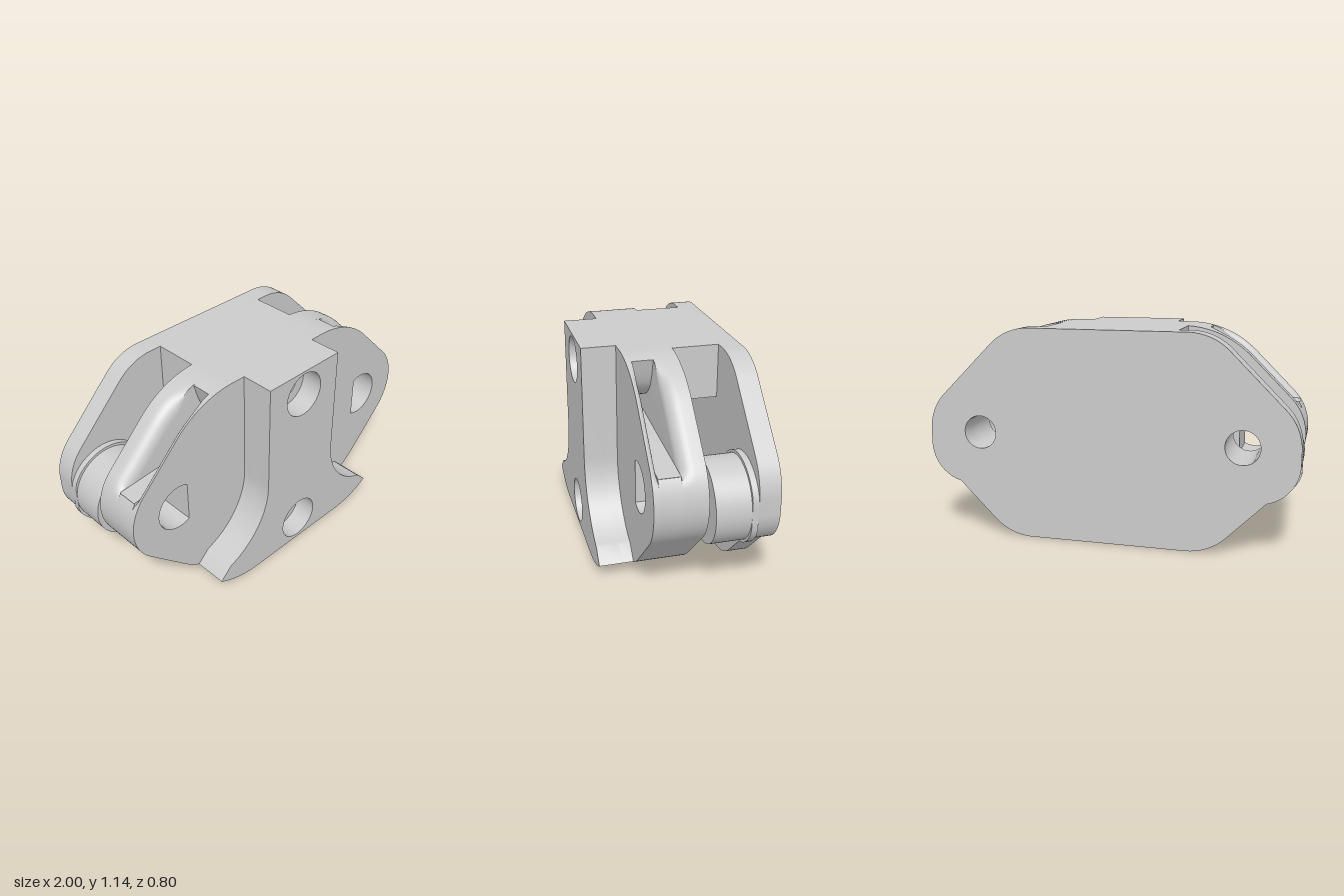
import * as THREE from 'three';
import { toCreasedNormals } from 'three/addons/utils/BufferGeometryUtils.js';

const V = (x, y) => new THREE.Vector2(x, y);
const mirrorX = pts => pts.map(p => V(-p.x, p.y)).reverse();

// Points along an arc, angles in degrees
function arc(cx, cy, r, from, to, n = 16) {
  return Array.from({ length: n + 1 }, (_, i) => {
    const a = THREE.MathUtils.degToRad(from + (to - from) * i / n);
    return V(cx + r * Math.cos(a), cy + r * Math.sin(a));
  });
}
const circle = (x, y, r, n = 40) => arc(x, y, r, 0, 360, n).slice(0, -1);

// Solid from stacked cross-sections: levels = [{ z, pts }] (counter-clockwise), plus straight holes
function slab(levels, holes = []) {
  const pos = [];
  const put = (p, z) => pos.push(p.x, p.y, z);
  const wall = (a, za, b, zb) => a.forEach((p, i) => {
    const j = (i + 1) % a.length;
    put(p, za); put(a[j], za); put(b[j], zb);
    put(p, za); put(b[j], zb); put(b[i], zb);
  });
  for (let k = 1; k < levels.length; k++) {
    wall(levels[k - 1].pts, levels[k - 1].z, levels[k].pts, levels[k].z);
  }
  const first = levels[0], last = levels[levels.length - 1];
  const cw = holes.map(h => THREE.ShapeUtils.isClockWise(h) ? h : h.slice().reverse());
  cw.forEach(h => wall(h, first.z, h, last.z));
  for (const [level, flip] of [[first, true], [last, false]]) {
    const all = [level.pts, ...cw].flat();
    for (const [a, b, c] of THREE.ShapeUtils.triangulateShape(level.pts, cw)) {
      for (const i of flip ? [a, c, b] : [a, b, c]) put(all[i], level.z);
    }
  }
  const g = new THREE.BufferGeometry();
  g.setAttribute('position', new THREE.Float32BufferAttribute(pos, 3));
  return toCreasedNormals(g, 0.5);
}
const prism = (pts, z0, z1, holes) => slab([{ z: z0, pts }, { z: z1, pts }], holes);
const rect = (x0, x1, y0, y1) => [V(x0, y0), V(x1, y0), V(x1, y1), V(x0, y1)];

export function createModel() {
  const group = new THREE.Group();
  const material = new THREE.MeshStandardMaterial({ color: 0xcccccc });
  const add = (name, geometry) => {
    const mesh = new THREE.Mesh(geometry, material);
    mesh.name = name;
    group.add(mesh);
  };

  // Back plate with a rounded bulge at each lower tip
  const backHalf = [
    ...arc(0.423, 0.3, 0.3, -90, -45),
    ...arc(0.785, 0.4975, 0.215, -76, 0),
    ...arc(0.715, 0.57, 0.285, 0, 45),
    ...arc(0.423, 0.84, 0.3, 45, 90),
  ];
  const pinHoles = [-0.71, 0.71].map(x => circle(x, 0.57, 0.09));
  add('backPlate', prism([...backHalf, ...mirrorX(backHalf)], -0.4, -0.29, pinHoles));

  // Spacer blocks between the plates
  add('upperSpacer', prism(rect(-0.36, 0.36, 0.855, 1.14), -0.29, -0.045));
  add('lowerSpacer', prism(rect(-0.36, 0.36, 0, 0.285), -0.29, -0.045));

  // Bosses with a collar at the base, trimmed at the plate's tip
  for (const s of [1, -1]) {
    const side = s > 0 ? 'left' : 'right';
    const place = pts => s > 0 ? pts : mirrorX(pts);
    const hole = [circle(s * 0.71, 0.57, 0.09)];
    const collar = circle(0.785, 0.4975, 0.23).map(p => V(Math.min(p.x, 1), p.y));
    add(side + 'Collar', prism(place(collar), -0.29, -0.258, hole));
    add(side + 'Boss', prism(place(circle(0.785, 0.4975, 0.215, 64)), -0.258, -0.08, hole));
  }

  // Front plate outline and its D-shaped holes
  const frontHalf = [
    ...arc(0.332, 0.52, 0.52, -90, -45),
    ...arc(0.715, 0.57, 0.285, -45, 45, 24),
    ...arc(0.332, 0.62, 0.52, 45, 90),
  ];
  const front = [...frontHalf, ...mirrorX(frontHalf)];
  const dHole = arc(0.71, 0.57, 0.13, -117.5, 117.5, 30);
  const dHoles = [dHole, mirrorX(dHole)];

  // Outline pulled inwards along the slot mouths only
  const smooth = THREE.MathUtils.smoothstep;
  const rolled = inset => front.map((p, i) => {
    const a = front[(i + front.length - 1) % front.length], b = front[(i + 1) % front.length];
    const normal = V(a.y - b.y, b.x - a.x).normalize();
    const w = smooth(p.y, 0.7, 0.76) * (1 - smooth(p.y, 1.06, 1.125));
    return p.clone().addScaledVector(normal, inset * w);
  });

  // Rear layer, its edge rolling into the slot
  const rear = [{ z: -0.045, pts: front }];
  for (let i = 0; i <= 8; i++) {
    const a = i / 8 * Math.PI / 2;
    rear.push({ z: 0.01 + 0.07 * Math.sin(a), pts: rolled(0.07 * (1 - Math.cos(a))) });
  }
  add('frontPlateRear', slab(rear, dHoles));

  // Slot layer: solid below the slot floor and above its curved roof
  const lowHalf = frontHalf.filter(p => p.y < 0.73);
  const floor = [V(0.957, 0.732), V(0.2, 0.785)];
  const low = [...lowHalf, ...floor];
  add('slotFloor', prism([...low, ...mirrorX(low)], 0.08, 0.19, dHoles));
  const roof = new THREE.SplineCurve([V(0.2, 0.855), V(0.32, 0.895), V(0.41, 0.98), V(0.46, 1.123)]).getPoints(14);
  const high = [...roof, ...frontHalf.filter(p => p.y > 1 && p.x < 0.455)];
  add('slotRoof', prism([...high, ...mirrorX(high)], 0.08, 0.19));

  // Thin front lip of the slot
  const screws = r => [circle(0, 1, r), circle(0, 0.145, r)];
  const lip = [];
  for (let i = 6; i >= 0; i--) {
    const a = i / 6 * Math.PI / 2;
    lip.push({ z: 0.22 - 0.03 * Math.sin(a), pts: rolled(0.04 * (1 - Math.cos(a))) });
  }
  add('frontPlateLip', slab(lip, [...dHoles, ...screws(0.06)]));

  // Raised central rib, flared at the foot, with two counterbored screw holes
  const ribHalf = [
    ...frontHalf.filter(p => p.y < 0.07 && p.x < 0.6),
    V(0.6, 0.076),
    ...arc(0.655, 0.53, 0.405, 252, 180, 20),
    V(0.25, 1.14),
  ];
  const rib = [...ribHalf, ...mirrorX(ribHalf)];
  add('ribBase', prism(rib, 0.22, 0.28, screws(0.068)));
  add('ribFront', prism(rib, 0.28, 0.4, screws(0.125)));

  return group;
}
